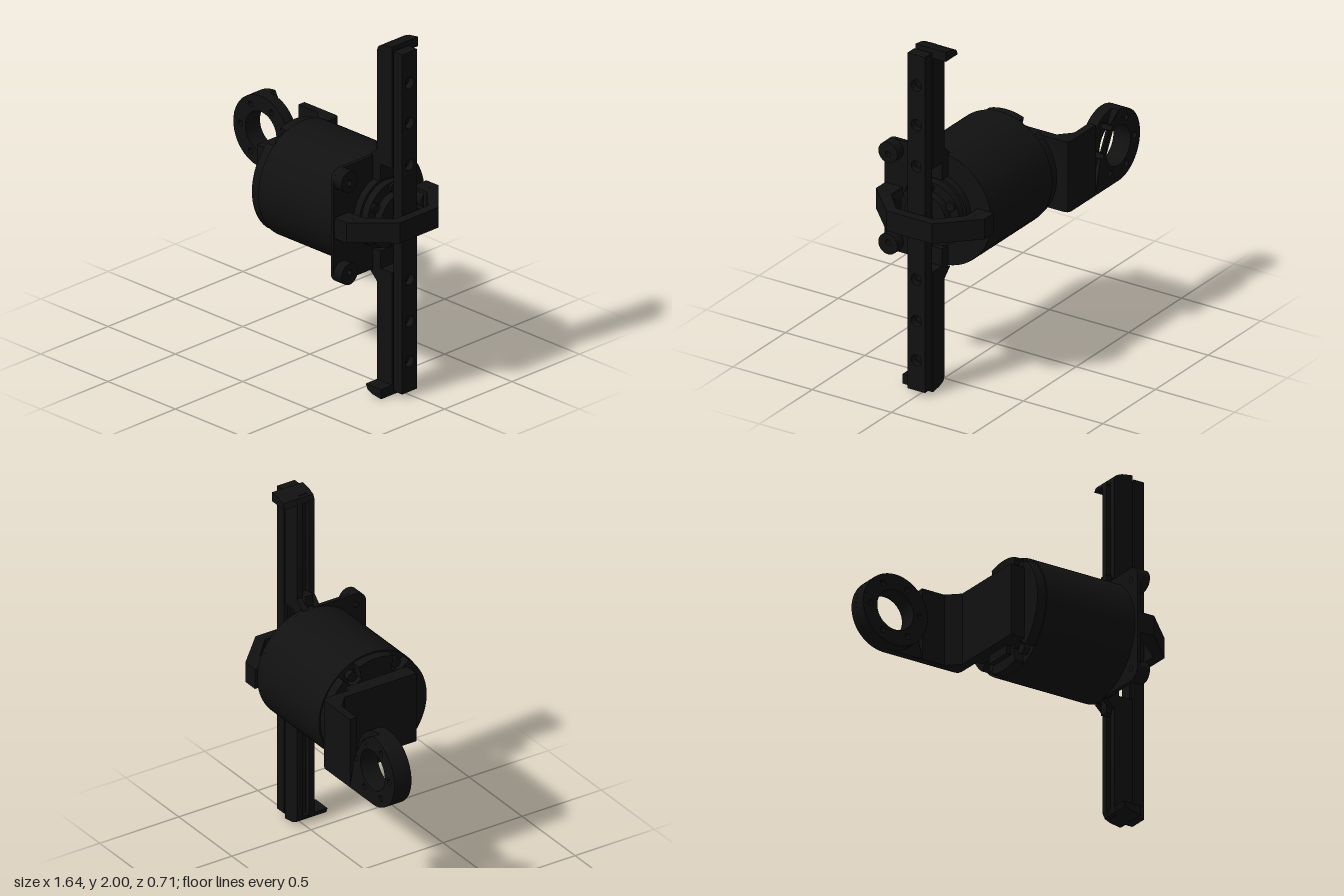
import * as THREE from 'three';
import { toCreasedNormals } from 'three/addons/utils/BufferGeometryUtils.js';

const CY = 1.005, CZ = 0.008; // motor axis
const dark = new THREE.MeshStandardMaterial({ color: 0x111111 });

export function createModel() {
  const root = new THREE.Group();

  const add = (name, geo, parent = root) => {
    const m = new THREE.Mesh(geo, dark);
    m.name = name;
    parent.add(m);
    return m;
  };
  const box = (name, x0, x1, y0, y1, z0, z1, parent) =>
    add(name, new THREE.BoxGeometry(x1 - x0, y1 - y0, z1 - z0)
      .translate((x0 + x1) / 2, (y0 + y1) / 2, (z0 + z1) / 2), parent);
  // cylinder lying along x
  const rod = (name, x0, x1, r, y = CY, z = CZ, seg = 48) =>
    add(name, new THREE.CylinderGeometry(r, r, x1 - x0, seg)
      .rotateZ(Math.PI / 2).translate((x0 + x1) / 2, y, z));
  const poly = pts => new THREE.Shape(pts.map(p => new THREE.Vector2(...p)));
  const hole = (shape, x, y, r) => shape.holes.push(new THREE.Path().absarc(x, y, r, 0, Math.PI * 2, true));
  const extrude = (shape, depth) => toCreasedNormals(
    new THREE.ExtrudeGeometry(shape, { depth, bevelEnabled: false, curveSegments: 24 }), 0.6);
  // shape drawn in (-z, y), extruded from x0 to x1
  const alongX = (shape, x0, x1) => extrude(shape, x1 - x0).rotateY(Math.PI / 2).translate(x0, 0, 0);
  // shape drawn in (x, z), extruded from y0 to y1
  const alongY = (shape, y0, y1) => extrude(shape, y1 - y0).rotateX(Math.PI / 2).translate(0, y1, 0);
  // shape drawn in (x, y), extruded from z0 to z1
  const alongZ = (shape, z0, z1) => extrude(shape, z1 - z0).translate(0, 0, z0);

  // Motor barrel
  rod('motorBody', -0.05, 0.53, 0.326, CY, CZ, 72);

  // Rear cap with four screw notches in its rim
  const cap = new THREE.Shape();
  const notches = [30, 150, 210, 330].map(d => d * Math.PI / 180);
  for (let i = 0; i < 144; i++) {
    const t = i / 144 * Math.PI * 2;
    const inNotch = notches.some(n => Math.abs(t - n) < 0.15);
    const r = inNotch ? 0.24 : 0.318;
    const x = Math.sin(t) * r - CZ, y = CY + Math.cos(t) * r;
    if (i) cap.lineTo(x, y); else cap.moveTo(x, y);
  }
  add('rearCap', alongX(cap, -0.105, -0.045));
  notches.forEach(n => rod('capScrew', -0.085, -0.05, 0.028,
    CY + Math.cos(n) * 0.275, CZ - Math.sin(n) * 0.275, 20));

  // Front flange: round towards the back, squared with ears towards the front
  const flange = new THREE.Shape();
  flange.absarc(-CZ, CY, 0.326, Math.PI / 2, -Math.PI / 2, true);
  flange.lineTo(-0.295, 0.679);
  flange.absarc(-0.295, 0.739, 0.06, -Math.PI / 2, -Math.PI, true);
  flange.lineTo(-0.355, 1.271);
  flange.absarc(-0.295, 1.271, 0.06, Math.PI, Math.PI / 2, true);
  for (const s of [-1, 1]) hole(flange, -0.295, CY + s * 0.257, 0.016);
  add('frontFlange', alongX(flange, 0.51, 0.532));
  for (const s of [-1, 1]) {
    const y = CY + s * 0.266;
    const ear = new THREE.Shape().absarc(-0.295, y, 0.06, 0, Math.PI * 2, false);
    hole(ear, -0.295, CY + s * 0.257, 0.016);
    add('flangeEar', alongX(ear, 0.53, 0.59));
  }

  // Stepped gear head
  rod('gearHead', 0.53, 0.575, 0.2);
  rod('gearHeadStep', 0.57, 0.62, 0.185);
  rod('gearHub', 0.62, 0.67, 0.13);
  rod('outputShaft', 0.66, 0.72, 0.05);
  for (let i = 0; i < 6; i++) {
    const a = i * Math.PI / 3;
    rod('gearScrew', 0.61, 0.635, 0.026, CY + Math.cos(a) * 0.155, CZ + Math.sin(a) * 0.155, 16);
  }

  // Yoke that bridges the rail
  add('yoke', alongY(poly([
    [0.53, 0.35], [0.62, 0.35], [0.82, 0.152], [0.82, -0.136], [0.62, -0.334], [0.53, -0.334],
    [0.53, -0.232], [0.635, -0.232], [0.765, -0.112], [0.765, 0.128], [0.635, 0.242], [0.53, 0.242],
  ]), 0.945, 1.062));
  for (const s of [-1, 1]) {
    rod('yokeFoot', 0.53, 0.612, 0.058, CY, CZ + s * 0.283, 32);
    rod('yokeScrew', 0.6, 0.645, 0.03, CY, CZ + s * 0.28, 20);
  }

  // Two rail arms; the lower one is the upper one turned half round about the shaft
  for (const turn of [0, Math.PI]) {
    const arm = new THREE.Group();
    arm.name = turn ? 'lowerArm' : 'upperArm';
    arm.position.set(0, 1, 0.01);
    arm.rotation.x = turn;
    root.add(arm);
    const side = poly([
      [0.53, 0.2], [0.59, 0.2], [0.59, 0.3], [0.675, 0.3], [0.675, 1], [0.61, 0.99],
      [0.575, 0.975], [0.562, 0.95], [0.562, 0.38], [0.51, 0.33], [0.53, 0.33],
    ]);
    for (const z of [-0.055, 0.019]) add('armSide', alongZ(side, z, z + 0.036), arm);
    box('armWeb', 0.59, 0.675, 0.3, 0.985, -0.025, 0.025, arm);
    box('armFoot', 0.53, 0.588, 0.2, 0.4, -0.025, 0.025, arm);
    // hooked end stop
    add('endLip', alongZ(poly([
      [0.562, 0.945], [0.675, 0.945], [0.675, 1], [0.61, 0.99], [0.575, 0.975],
    ]), -0.137, 0.055), arm);
    for (const y of [0.33, 0.57, 0.8])
      add('railScrew', new THREE.CylinderGeometry(0.017, 0.017, 0.02, 6)
        .rotateZ(Math.PI / 2).translate(0.715, y, 0), arm);
  }

  // Rail bar with countersunk holes, standing off on a narrower core
  const bar = poly([[-0.065, 0.025], [0.045, 0.025], [0.045, 1.978], [-0.065, 1.978]]);
  for (const s of [-1, 1]) for (const y of [0.33, 0.57, 0.8]) hole(bar, -0.01, 1 + s * y, 0.032);
  add('railBar', alongX(bar, 0.685, 0.75));
  box('railCore', 0.67, 0.712, 0.03, 1.972, -0.025, 0.045);

  // Bent mounting bracket
  add('bracketBend', alongY(poly([
    [-0.4, -0.358], [-0.165, -0.358], [-0.147, -0.35], [-0.14, -0.33], [-0.14, 0.205],
    [-0.19, 0.205], [-0.19, -0.25], [-0.26, -0.315], [-0.4, -0.315],
  ]), 0.8, 1.21));
  box('bracketPad', -0.14, -0.1, 0.8, 1.21, -0.19, 0.205);
  box('cableTab', -0.135, -0.1, 0.75, 0.8, -0.08, 0.08);

  const RX = -0.615, R = 0.205;
  const drill = shape => {
    hole(shape, RX, CY, 0.115);
    for (let i = 0; i < 6; i++) {
      const a = i * Math.PI / 3;
      hole(shape, RX + Math.cos(a) * 0.155, CY + Math.sin(a) * 0.155, 0.017);
    }
    return shape;
  };
  const plate = new THREE.Shape();
  plate.moveTo(-0.4, CY + R);
  plate.absarc(RX, CY, R, Math.PI / 2, Math.PI * 1.5, false);
  plate.lineTo(-0.4, CY - R);
  add('bracketPlate', alongZ(drill(plate), -0.358, -0.315));
  const ring = new THREE.Shape().absarc(RX, CY, R, 0, Math.PI * 2, false);
  add('bracketRing', alongZ(drill(ring), -0.315, -0.25));

  return root;
}
